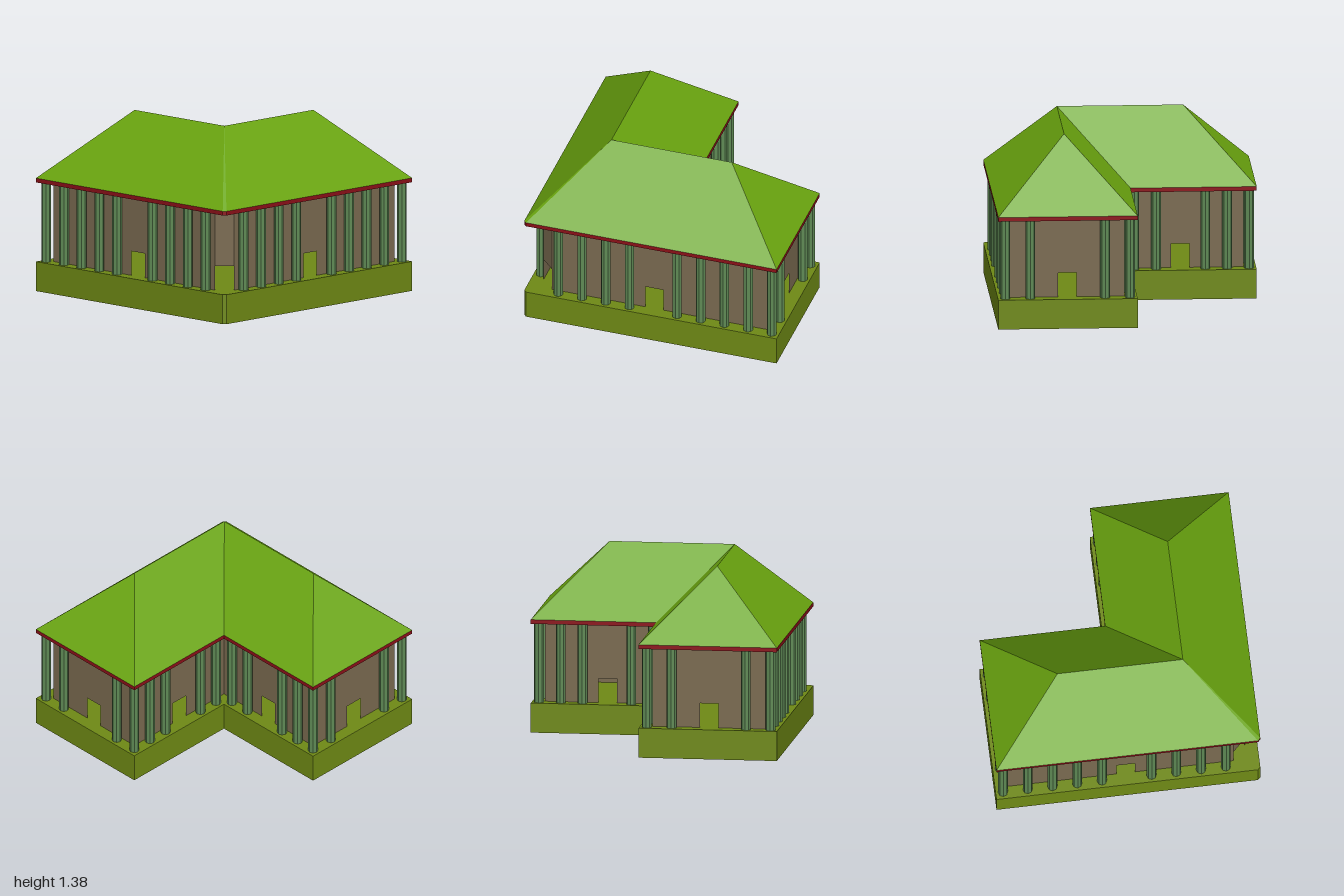
import * as THREE from 'three';

const mat = (color) => new THREE.MeshStandardMaterial({ color, flatShading: true, side: THREE.DoubleSide });

// L-shaped plan, as [x, z] corners, with the outer corner cut off
const lPlan = (out, inner, cut) => [
  [-out, out], [out - cut, out], [out, out - cut], [out, -out],
  [inner, -out], [inner, inner], [-out, inner],
];

function addMesh(parent, name, geometry, material) {
  const mesh = new THREE.Mesh(geometry, material);
  mesh.name = name;
  parent.add(mesh);
  return mesh;
}

// Flat slab on the plan between two heights
function slab(plan, y0, y1) {
  const shape = new THREE.Shape(plan.map(([x, z]) => new THREE.Vector2(x, -z)));
  return new THREE.ExtrudeGeometry(shape, { depth: y1 - y0, bevelEnabled: false })
    .rotateX(-Math.PI / 2).translate(0, y0, 0);
}

// Hipped roof: two ridges meeting above the bend
function roofGeometry(plan, y0, y1) {
  const [a, b, c, d, e, f, g] = plan.map(([x, z]) => [x, y0, z]);
  const left = [-0.475, y1, 0.475], bend = [0.475, y1, 0.475], back = [0.475, y1, -0.475];
  const faces = [
    [a, b, bend, left], [b, c, bend], [c, d, back, bend],
    [d, e, back], [e, f, bend, back], [f, g, left, bend], [g, a, left],
  ];
  const pos = [];
  for (const p of faces) {
    for (let i = 1; i < p.length - 1; i++) pos.push(...p[0], ...p[i], ...p[i + 1]);
  }
  const geo = new THREE.BufferGeometry();
  geo.setAttribute('position', new THREE.Float32BufferAttribute(pos, 3));
  geo.computeVertexNormals();
  return geo;
}

// Wall panel with a doorway centred at distance door along it
function wallGeometry(length, height, door) {
  const w = 0.07, h = 0.185;
  const pts = [[0, 0], [door - w, 0], [door - w, h], [door + w, h], [door + w, 0], [length, 0], [length, height], [0, height]];
  return new THREE.ShapeGeometry(new THREE.Shape(pts.map(([x, y]) => new THREE.Vector2(x, y))));
}

export function createModel() {
  const group = new THREE.Group();
  const floorY = 0.225, eaveY = 0.83, roofY = 0.862, ridgeY = 1.383;
  const eavePlan = lPlan(1, -0.05, 0.02);

  addMesh(group, 'base', slab(eavePlan, 0, floorY), mat(0x6f8a15));
  addMesh(group, 'eaveBand', slab(eavePlan, eaveY, roofY), mat(0x8c1018));
  addMesh(group, 'roof', roofGeometry(eavePlan, roofY, ridgeY), mat(0x6aa50f));

  // Walls, one doorway on each side
  const walls = new THREE.Group();
  walls.name = 'walls';
  group.add(walls);
  const wallMat = mat(0x7a6a50);
  const wallPlan = lPlan(0.905, 0.045, 0.1);
  wallPlan.forEach(([x, z], i) => {
    const [nx, nz] = wallPlan[(i + 1) % wallPlan.length];
    const length = Math.hypot(nx - x, nz - z);
    const door = i === 0 ? 0.895 : i === 2 ? 0.81 : length / 2;
    const wall = addMesh(walls, 'wall', wallGeometry(length, eaveY - floorY, door), wallMat);
    wall.position.set(x, floorY, z);
    wall.rotation.y = Math.atan2(z - nz, nx - x);
  });

  // Columns around one wing, mirrored across the diagonal for the other
  const columns = new THREE.Group();
  columns.name = 'columns';
  group.add(columns);
  const outer = 0.945, inner = 0.005, step = 0.1875;
  const spots = [];
  for (const k of [0, 1, 2, 3, 4, 6, 7, 8, 9]) spots.push([-outer + k * step, outer]);
  for (const z of [0.757, 0.193, inner]) spots.push([-outer, z]);
  for (const x of [-0.78, -0.615, -0.245, -0.08]) spots.push([x, inner]);
  const columnGeo = new THREE.CylinderGeometry(0.037, 0.037, eaveY - floorY, 8);
  const columnMat = mat(0x5f8a55);
  for (const [x, z] of spots) {
    for (const [px, pz] of [[x, z], [z, x]]) {
      addMesh(columns, 'column', columnGeo, columnMat).position.set(px, (floorY + eaveY) / 2, pz);
    }
  }
  return group;
}
